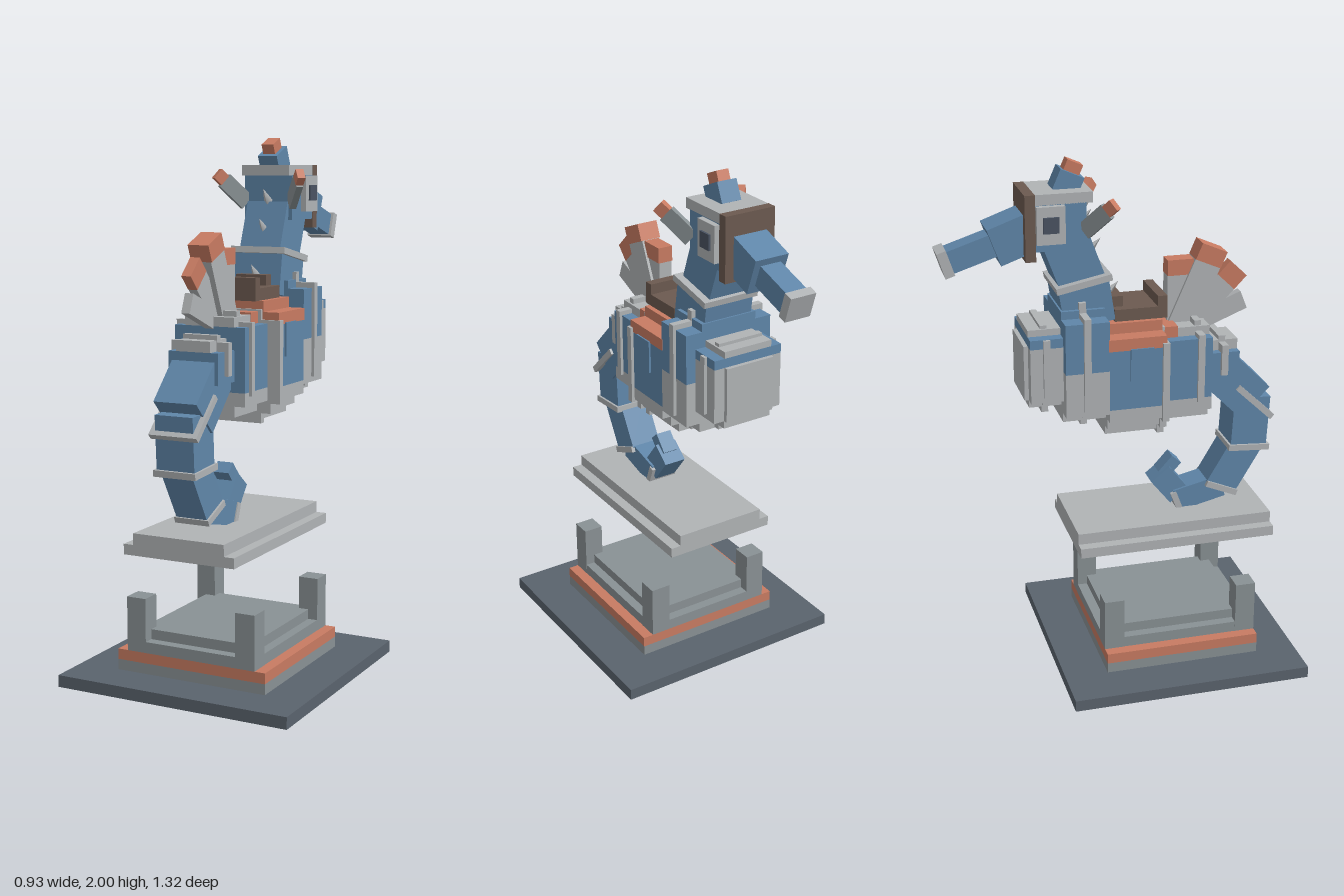
import * as THREE from 'three';

const mat = (name, color) => {
  const m = new THREE.MeshStandardMaterial({ color });
  m.name = name;
  return m;
};

export function createModel() {
  const blue = mat('blue', 0x5f86a9), pale = mat('pale grey', 0xb0b3b5), grey = mat('mid grey', 0x899194);
  const slate = mat('slate', 0x5a636d), coral = mat('coral', 0xc87b62), brown = mat('brown', 0x6c5a50);
  const dark = mat('eye dark', 0x4a5362);

  const model = new THREE.Group();
  model.name = 'seahorseRide';
  const group = (name) => {
    const g = new THREE.Group();
    g.name = name;
    model.add(g);
    return g;
  };
  const add = (parent, name, geo, m) => {
    const mesh = new THREE.Mesh(geo, m);
    mesh.name = name;
    parent.add(mesh);
    return mesh;
  };
  // Box given by its limits on each axis
  const box = (parent, name, m, x0, x1, y0, y1, z0, z1) => {
    const mesh = add(parent, name, new THREE.BoxGeometry(x1 - x0, y1 - y0, z1 - z0), m);
    mesh.position.set((x0 + x1) / 2, (y0 + y1) / 2, (z0 + z1) / 2);
    return mesh;
  };
  const slab = (parent, name, m, hx, y0, y1, z0, z1) => box(parent, name, m, -hx, hx, y0, y1, z0, z1);
  // Tilted box between two [z, y] points in the middle plane
  const beam = (parent, name, m, a, b, depth, hx) => {
    const dz = b[0] - a[0], dy = b[1] - a[1];
    const mesh = add(parent, name, new THREE.BoxGeometry(hx * 2, depth, Math.hypot(dz, dy)), m);
    mesh.position.set(0, (a[1] + b[1]) / 2, (a[0] + b[0]) / 2);
    mesh.rotation.x = -Math.atan2(dy, dz);
    return mesh;
  };

  // Stepped base with corner posts
  const base = group('base');
  slab(base, 'groundPlate', slate, 0.466, 0, 0.045, -0.274, 0.657);
  slab(base, 'plinth', grey, 0.304, 0.045, 0.085, -0.108, 0.5);
  slab(base, 'coralTrim', coral, 0.304, 0.085, 0.125, -0.108, 0.5);
  slab(base, 'deck', grey, 0.262, 0.125, 0.167, -0.108, 0.5);
  slab(base, 'raisedDeck', grey, 0.225, 0.167, 0.205, -0.07, 0.46);
  for (const x of [-0.263, 0.185])
    for (const z of [-0.108, 0.422]) box(base, 'cornerPost', grey, x, x + 0.078, 0.125, 0.33, z, z + 0.078);

  // Floating platform
  const platform = group('platform');
  slab(platform, 'platformLower', pale, 0.224, 0.513, 0.552, -0.19, 0.58);
  slab(platform, 'platformUpper', pale, 0.184, 0.552, 0.595, -0.19, 0.58);

  // Body: each section is a stack of rows [material, half width, bottom, top]
  const body = group('body');
  const sections = [
    ['chest', -0.352, -0.23, [[pale, 0.1, 1.1, 1.13], [pale, 0.143, 1.13, 1.34], [blue, 0.143, 1.34, 1.375], [pale, 0.1, 1.375, 1.4]]],
    ['shoulders', -0.23, -0.066, [[pale, 0.125, 1.04, 1.075], [pale, 0.182, 1.075, 1.245], [blue, 0.182, 1.245, 1.435], [blue, 0.115, 1.435, 1.465]]],
    ['barrel', -0.066, 0.15, [[pale, 0.11, 0.967, 1.0], [pale, 0.145, 1.0, 1.04], [pale, 0.182, 1.04, 1.09], [blue, 0.182, 1.09, 1.325]]],
    ['hips', 0.15, 0.34, [[pale, 0.1, 1.0, 1.04], [pale, 0.143, 1.04, 1.09], [blue, 0.143, 1.09, 1.325], [pale, 0.1, 1.325, 1.36]]],
    ['rump', 0.34, 0.462, [[blue, 0.1, 1.13, 1.245], [pale, 0.068, 1.245, 1.285]]],
  ];
  for (const [name, z0, z1, rows] of sections)
    for (const [m, hx, y0, y1] of rows) slab(body, name, m, hx, y0, y1, z0, z1);
  slab(body, 'breastPlate', pale, 0.1, 1.13, 1.34, -0.368, -0.352);

  // Stepped hoops round the body: z, half width, bottom, top
  const hoops = [[-0.292, 0.155, 1.075, 1.412], [-0.15, 0.194, 1.02, 1.493], [0.147, 0.194, 0.953, 1.375],
    [0.295, 0.154, 1.0, 1.38], [0.4, 0.115, 1.11, 1.302]];
  for (const [z, hx, y0, y1] of hoops) {
    const s = Math.min(0.038, (y1 - y0) / 8);
    slab(body, 'hoop', pale, hx, y0 + 2 * s, y1 - s, z - 0.013, z + 0.013);
    slab(body, 'hoopStep', pale, hx * 0.8, y0 + s, y0 + 2 * s, z - 0.013, z + 0.013);
    slab(body, 'hoopBottom', pale, hx * 0.6, y0, y0 + s, z - 0.013, z + 0.013);
    slab(body, 'hoopTop', pale, hx * 0.6, y1 - s, y1, z - 0.013, z + 0.013);
  }

  // Saddle, blanket and side flaps
  const saddle = group('saddle');
  slab(saddle, 'blanket', coral, 0.184, 1.32, 1.365, -0.07, 0.15);
  slab(saddle, 'blanketTop', coral, 0.12, 1.365, 1.405, -0.07, 0.15);
  slab(saddle, 'blanketRear', coral, 0.103, 1.32, 1.368, 0.15, 0.215);
  slab(saddle, 'seat', brown, 0.1, 1.405, 1.45, -0.025, 0.172);
  slab(saddle, 'cantle', brown, 0.1, 1.405, 1.49, 0.138, 0.174);
  slab(saddle, 'pommel', brown, 0.063, 1.405, 1.49, -0.027, 0.015);
  for (const s of [-1, 1]) {
    const x = s * 0.184;
    box(saddle, 'sideFlap', blue, x - 0.006, x + 0.006, 1.2, 1.325, 0.012, 0.1);
  }

  // Curled tail: start, end, depth, half width
  const tail = group('tail');
  const tailParts = [
    [[0.376, 1.182], [0.535, 1.023], 0.165, 0.086],
    [[0.53, 1.04], [0.519, 0.832], 0.145, 0.076],
    [[0.521, 0.845], [0.413, 0.662], 0.13, 0.062],
    [[0.425, 0.668], [0.233, 0.622], 0.092, 0.055],
    [[0.25, 0.642], [0.172, 0.74], 0.092, 0.045],
    [[0.186, 0.731], [0.241, 0.792], 0.05, 0.032],
  ];
  for (const p of tailParts) beam(tail, 'tailSegment', blue, ...p);
  // Tail rings: centre, direction, depth, half width
  const ring = (parent, name, [z, y], angle, depth, hx) => {
    const dz = Math.cos(angle) * 0.012, dy = Math.sin(angle) * 0.012;
    beam(parent, name, pale, [z - dz, y - dy], [z + dz, y + dy], depth, hx);
  };
  ring(tail, 'tailRing', [0.535, 1.025], -2.33 + Math.PI, 0.195, 0.096);
  ring(tail, 'tailRing', [0.52, 0.833], -1.64, 0.165, 0.085);
  ring(tail, 'tailRing', [0.418, 0.662], -1.97, 0.135, 0.07);
  ring(tail, 'tailRing', [0.236, 0.625], -2.78, 0.075, 0.06);

  // Fan of back fins: base, tip, depth, half width, length of coral tip
  const fins = group('backFins');
  const finParts = [
    [[0.245, 1.33], [0.245, 1.6], 0.1, 0.03, 0.06],
    [[0.24, 1.33], [0.374, 1.639], 0.105, 0.042, 0.066],
    [[0.27, 1.33], [0.476, 1.546], 0.09, 0.019, 0.07],
    [[0.3, 1.34], [0.5, 1.42], 0.074, 0.019, 0],
  ];
  for (const [a, b, depth, hx, tip] of finParts) {
    const t = 1 - tip / Math.hypot(b[0] - a[0], b[1] - a[1]);
    const c = [a[0] + (b[0] - a[0]) * t, a[1] + (b[1] - a[1]) * t];
    beam(fins, 'fin', pale, a, c, depth, hx * 0.9);
    if (tip) beam(fins, 'finTip', coral, c, b, depth, hx);
  }

  // Neck with collar
  const neck = group('neck');
  beam(neck, 'lowerNeck', blue, [-0.117, 1.4], [-0.143, 1.563], 0.19, 0.1);
  beam(neck, 'upperNeck', blue, [-0.138, 1.55], [-0.205, 1.73], 0.172, 0.085);
  ring(neck, 'collar', [-0.141, 1.56], 1.77, 0.21, 0.114);

  // Head, cap, muzzle band and eyes
  const head = group('head');
  slab(head, 'skull', blue, 0.1, 1.69, 1.86, -0.315, -0.13);
  slab(head, 'cap', pale, 0.1, 1.858, 1.897, -0.315, -0.105);
  slab(head, 'muzzleBand', brown, 0.102, 1.655, 1.897, -0.352, -0.314);
  for (const s of [-1, 1]) {
    const plate = (name, m, x0, x1, ...r) => box(head, name, m, Math.min(s * x0, s * x1), Math.max(s * x0, s * x1), ...r);
    plate('eyeFrame', pale, 0.1, 0.122, 1.72, 1.857, -0.314, -0.21);
    plate('eye', dark, 0.122, 0.13, 1.762, 1.82, -0.292, -0.234);
  }
  beam(head, 'snoutBase', blue, [-0.32, 1.756], [-0.458, 1.706], 0.143, 0.068);
  beam(head, 'snout', blue, [-0.445, 1.712], [-0.617, 1.656], 0.085, 0.042);
  beam(head, 'snoutTip', pale, [-0.612, 1.659], [-0.646, 1.648], 0.098, 0.052);
  beam(head, 'crest', blue, [-0.195, 1.88], [-0.164, 1.95], 0.095, 0.04);
  beam(head, 'crestTip', coral, [-0.17, 1.94], [-0.15, 1.986], 0.062, 0.025);

  // Swept-back ears with coral tips
  for (const s of [-1, 1]) {
    const ear = group(s > 0 ? 'leftEar' : 'rightEar');
    ear.position.set(s * 0.095, 1.755, -0.135);
    ear.lookAt(s * 0.176, 1.865, -0.045);
    const length = 0.164;
    slab(ear, 'earBlade', grey, 0.013, -0.031, 0.031, 0, length - 0.04);
    slab(ear, 'earTip', coral, 0.015, -0.023, 0.023, length - 0.04, length);
  }

  // Spines down the back of the head and neck
  const spines = group('spines');
  for (const [z, y] of [[-0.115, 1.78], [-0.082, 1.67], [-0.015, 1.5]]) {
    const spine = add(spines, 'spine', new THREE.ConeGeometry(0.024, 0.08, 4), pale);
    spine.position.set(0, y, z);
    spine.rotation.x = 0.8;
  }
  return model;
}
